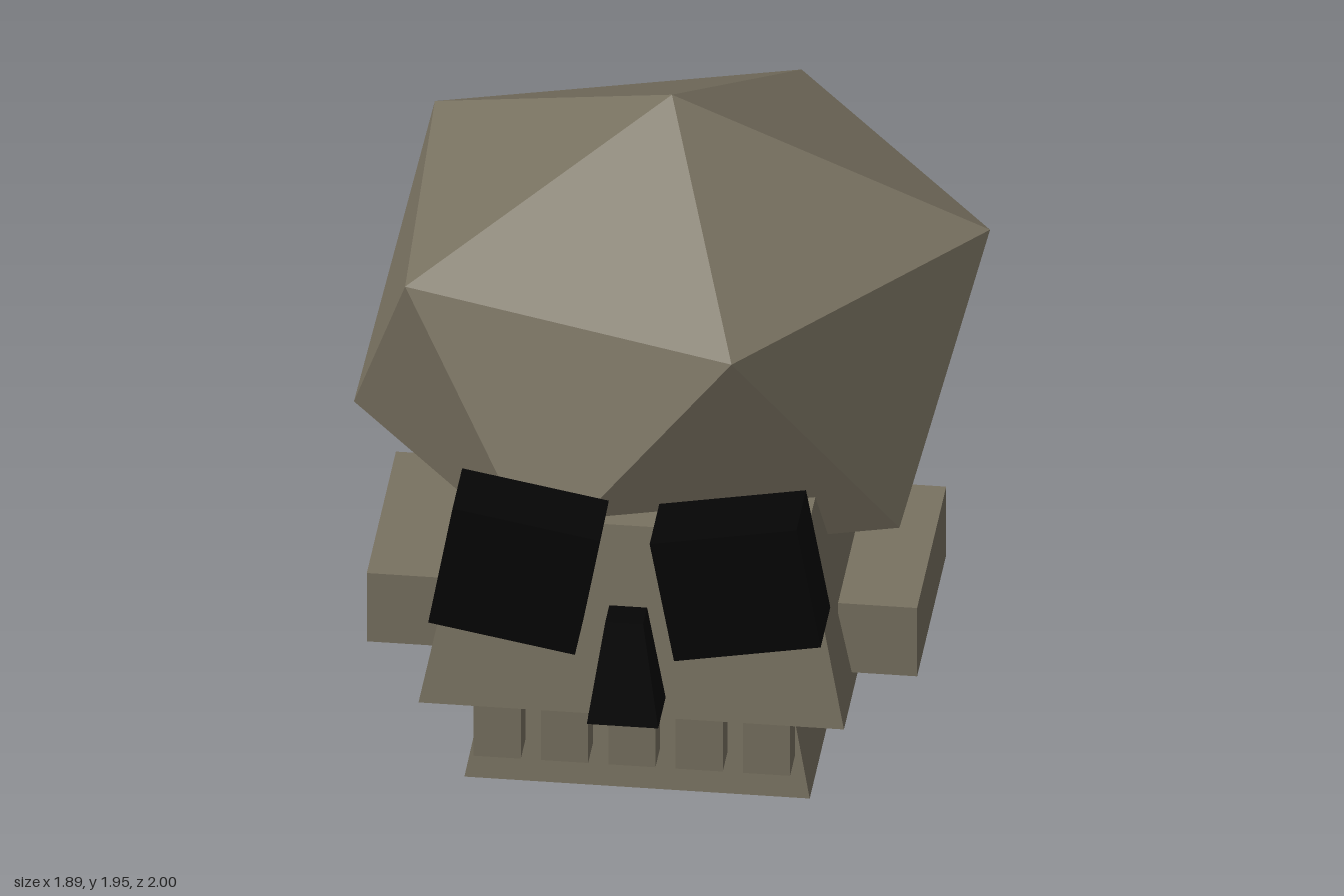
import * as THREE from 'three';

const bone = new THREE.MeshStandardMaterial({ color: 0x797261 });
bone.name = 'bone';
const black = new THREE.MeshStandardMaterial({ color: 0x050505 });
black.name = 'socketBlack';

// Split shared corners so every face is flat
function faceted(geometry) {
  const g = geometry.index ? geometry.toNonIndexed() : geometry;
  g.computeVertexNormals();
  return g;
}

function box(w, h, d) {
  return new THREE.BoxGeometry(w, h, d);
}

// Four-sided block with half sizes hx, hz at the bottom, scaled by taper at the top
function frustum(hx, hz, height, taper) {
  const g = new THREE.CylinderGeometry(taper * Math.SQRT2, Math.SQRT2, height, 4, 1, false, Math.PI / 4);
  g.scale(hx, 1, hz);
  return faceted(g);
}

// Irregular icosahedron: two poles joined by two staggered rings of five
function craniumGeometry() {
  const upper = [[0.945, 1.55, -0.15], [0.28, 1.545, -1], [-0.77, 1.55, -0.68], [-0.73, 1.535, 0.36], [0.28, 1.535, 0.685]];
  const lower = [[0.76, 0.82, -0.68], [-0.285, 0.83, -0.97], [-0.945, 0.82, -0.15], [-0.29, 0.82, 0.685], [0.74, 0.82, 0.37]];
  const top = [0, 1.945, -0.15];
  const bottom = [0, 0.42, -0.15];
  const points = [];
  for (let i = 0; i < 5; i++) {
    const j = (i + 1) % 5;
    points.push(top, upper[i], upper[j]);
    points.push(upper[i], lower[i], upper[j]);
    points.push(lower[i], lower[j], upper[j]);
    points.push(bottom, lower[j], lower[i]);
  }
  const g = new THREE.BufferGeometry();
  g.setAttribute('position', new THREE.Float32BufferAttribute(points.flat(), 3));
  return faceted(g);
}

export function createModel() {
  const model = new THREE.Group();
  model.name = 'skull';

  function add(name, geometry, material, x, y, z) {
    const mesh = new THREE.Mesh(geometry, material);
    mesh.name = name;
    mesh.position.set(x, y, z);
    model.add(mesh);
    return mesh;
  }

  add('cranium', craniumGeometry(), bone, 0, 0, 0);

  // Face narrows upward, jaw below it
  add('face', frustum(0.632, 0.42, 0.605, 0.805), bone, -0.005, 0.6705, 0.37);
  add('jaw', frustum(0.513, 0.35, 0.34, 0.87), bone, -0.005, 0.208, 0.3);
  add('neckOpening', box(0.7, 0.12, 0.515), black, -0.005, 0.06, 0.137);

  // Cheekbones and tilted eye sockets on both sides
  for (const side of [1, -1]) {
    const label = side > 0 ? 'left' : 'right';
    add(label + 'Cheekbone', box(0.235, 0.235, 0.7), bone, -0.005 + side * 0.7, 0.528, 0.182);
    const eye = add(label + 'EyeSocket', box(0.443, 0.404, 0.232), black, -0.005 + side * 0.329, 0.903, 0.837);
    eye.rotation.z = side * 0.18;
  }

  add('noseHole', frustum(0.106, 0.09, 0.33, 0.53), black, -0.005, 0.623, 0.91);

  // Row of upper teeth
  for (let i = -2; i <= 2; i++) {
    add('tooth' + (i + 3), box(0.14, 0.22, 0.115), bone, -0.007 + i * 0.2, 0.287, 0.7);
  }

  return model;
}
